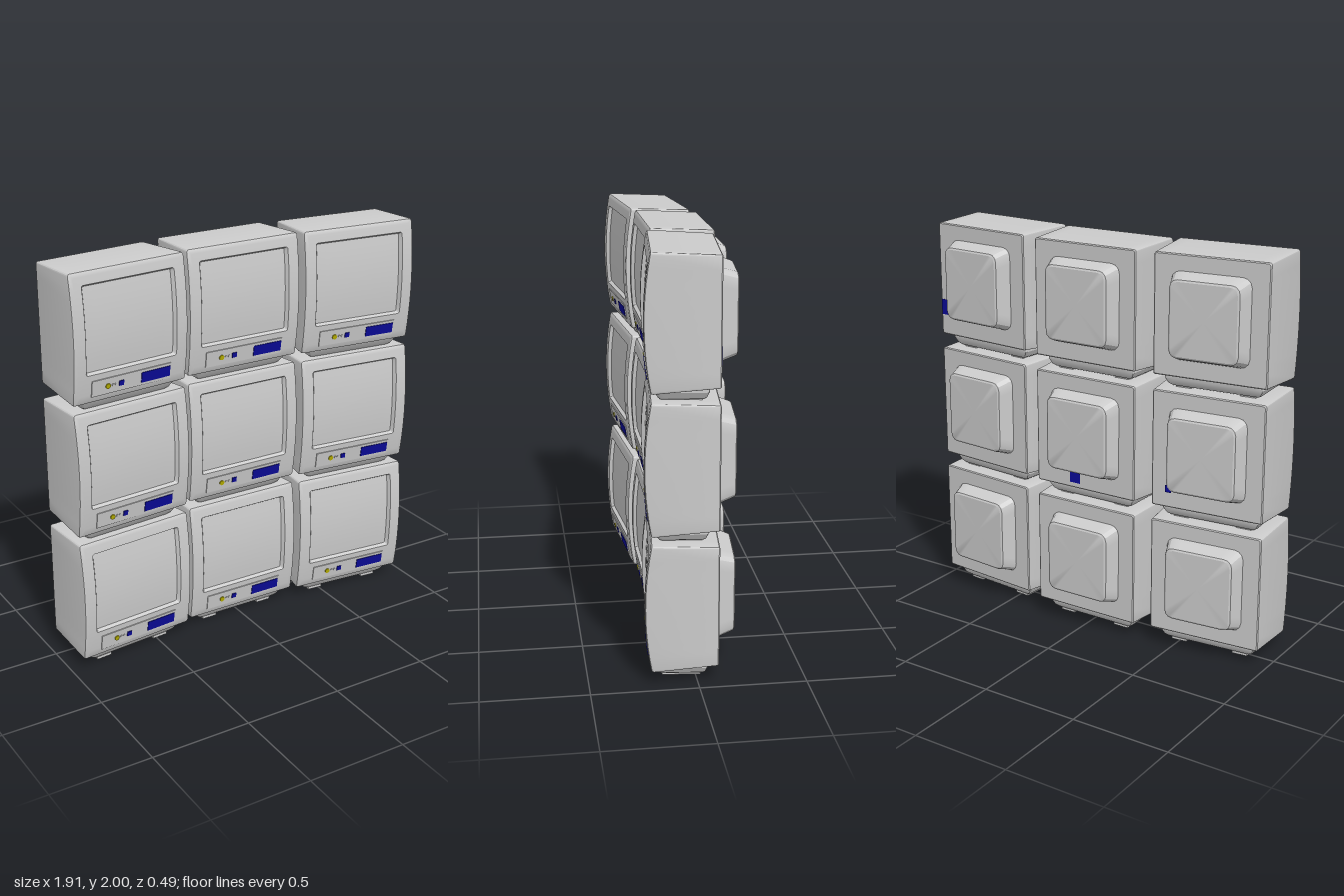
import * as THREE from 'three';
import { toCreasedNormals } from 'three/addons/utils/BufferGeometryUtils.js';

const grey = new THREE.MeshStandardMaterial({ color: 0xcccccc });
const blue = new THREE.MeshStandardMaterial({ color: 0x0a0a99 });
const yellow = new THREE.MeshStandardMaterial({ color: 0xb8b000 });

const MID = 0.37; // height of the cabinet's middle above its feet
const bulge = (y) => 0.14 + 0.03 * (1 - ((y - MID) / 0.31) ** 2);

// Rounded rectangle, counter-clockwise seen from +z; z is a number or a function of y
function ring(hw, y0, y1, r, z) {
  const corners = [[hw - r, y0 + r], [hw - r, y1 - r], [-hw + r, y1 - r], [-hw + r, y0 + r]];
  const outline = [];
  corners.forEach(([cx, cy], c) => {
    for (let k = 0; k <= 3; k++) {
      const a = (c - 1 + k / 3) * Math.PI / 2;
      outline.push([cx + r * Math.cos(a), cy + r * Math.sin(a)]);
    }
    const [px, py] = outline[outline.length - 1];
    const [nx, ny] = corners[(c + 1) % 4];
    const a = c * Math.PI / 2;
    const qx = nx + r * Math.cos(a), qy = ny + r * Math.sin(a);
    for (let k = 1; k < 10; k++) outline.push([px + (qx - px) * k / 10, py + (qy - py) * k / 10]);
  });
  return outline.map(([x, y]) => new THREE.Vector3(x, y, typeof z === 'function' ? z(y) : z));
}

// Skin through rings ordered from back to front, closed at both ends
function loft(rings) {
  const n = rings[0].length;
  const points = rings.flat();
  const index = [];
  for (let j = 0; j < rings.length - 1; j++) {
    for (let i = 0; i < n; i++) {
      const a = j * n + i, b = j * n + (i + 1) % n;
      index.push(a, b, b + n, a, b + n, a + n);
    }
  }
  const centre = (pts) => pts.reduce((s, p) => s.add(p), new THREE.Vector3()).divideScalar(n);
  const back = points.push(centre(rings[0])) - 1;
  const front = points.push(centre(rings[rings.length - 1])) - 1;
  const last = (rings.length - 1) * n;
  for (let i = 0; i < n; i++) {
    const k = (i + 1) % n;
    index.push(back, k, i, front, last + i, last + k);
  }
  const g = new THREE.BufferGeometry().setFromPoints(points);
  g.setIndex(index);
  return toCreasedNormals(g, 0.45);
}

function add(parent, name, geometry, material, x = 0, y = 0, z = 0) {
  const mesh = new THREE.Mesh(geometry, material);
  mesh.name = name;
  mesh.position.set(x, y, z);
  parent.add(mesh);
  return mesh;
}

// Cabinet, curved bezel and recessed screen as one skin
function cabinetGeometry() {
  const rings = [
    ring(0.285, 0.085, 0.66, 0.01, -0.17),
    ring(0.29, 0.08, 0.665, 0.01, -0.165),
    ring(0.307, 0.06, 0.68, 0.012, (y) => bulge(y) - 0.012),
    ring(0.305, 0.062, 0.678, 0.012, (y) => bulge(y) - 0.004),
  ];
  for (let k = 0; k <= 4; k++) {
    const mix = (a, b) => THREE.MathUtils.lerp(a, b, k / 4);
    rings.push(ring(mix(0.297, 0.245), mix(0.07, 0.2), mix(0.67, 0.62), 0.01, bulge));
  }
  const glass = (y) => bulge(y) - 0.018;
  rings.push(ring(0.234, 0.21, 0.61, 0.008, glass));
  for (const s of [0.75, 0.5, 0.25, 0.02]) {
    rings.push(ring(0.234 * s, 0.41 - 0.2 * s, 0.41 + 0.2 * s, 0.008 * s, glass));
  }
  return loft(rings);
}

// Tapered housing on the back
const housingGeometry = () => loft([
  ring(0.166, 0.202, 0.553, 0.035, -0.25),
  ring(0.175, 0.193, 0.562, 0.04, -0.245),
  ring(0.18, 0.187, 0.568, 0.045, -0.232),
  ring(0.194, 0.172, 0.583, 0.045, -0.185),
  ring(0.205, 0.163, 0.59, 0.045, -0.16),
]);

// Pedestal, lofted upward
const pedestalGeometry = () => loft([
  ring(0.225, -0.095, 0.1, 0.01, 0.018),
  ring(0.24, -0.105, 0.11, 0.01, 0.028),
  ring(0.255, -0.12, 0.12, 0.01, 0.055),
  ring(0.255, -0.12, 0.12, 0.01, 0.085),
]).rotateX(-Math.PI / 2);

const shared = {
  cabinet: cabinetGeometry(),
  housing: housingGeometry(),
  pedestal: pedestalGeometry(),
  foot: new THREE.BoxGeometry(0.08, 0.03, 0.18),
  panel: new THREE.BoxGeometry(0.43, 0.08, 0.012),
  display: new THREE.BoxGeometry(0.158, 0.052, 0.008),
  knob: new THREE.CylinderGeometry(0.013, 0.013, 0.012, 16).rotateX(Math.PI / 2),
  button: new THREE.CylinderGeometry(0.006, 0.006, 0.01, 10).rotateX(Math.PI / 2),
  square: new THREE.BoxGeometry(0.025, 0.025, 0.01),
};

function createMonitor() {
  const monitor = new THREE.Group();
  add(monitor, 'cabinet', shared.cabinet, grey);
  add(monitor, 'rearHousing', shared.housing, grey);
  add(monitor, 'pedestal', shared.pedestal, grey);
  for (const side of [-1, 1]) add(monitor, 'foot', shared.foot, grey, 0.165 * side, 0.015, 0);

  // Control panel follows the slope of the chin
  const controls = new THREE.Group();
  controls.name = 'controlPanel';
  controls.position.set(0, 0.13, bulge(0.13));
  controls.rotation.x = 0.15;
  add(controls, 'panelPlate', shared.panel, grey, 0, 0, -0.002);
  add(controls, 'display', shared.display, blue, 0.13, 0, 0.003);
  add(controls, 'knob', shared.knob, yellow, -0.13, 0, 0.003);
  for (const x of [-0.104, -0.088]) add(controls, 'button', shared.button, grey, x, 0, 0.003);
  add(controls, 'blueButton', shared.square, blue, -0.058, 0, 0.003);
  monitor.add(controls);
  return monitor;
}

export function createModel() {
  const wall = new THREE.Group();
  wall.name = 'monitorWall';
  // Blue tags on the backs: column, row, x, y, z, width, height
  const tags = [
    [1, 2, 0.26, 0.225, -0.17, 0.05, 0.08],
    [0, 1, 0.06, 0.135, -0.17, 0.06, 0.055],
    [-1, 1, 0.165, 0.205, -0.243, 0.03, 0.035],
  ];
  for (let row = 0; row < 3; row++) {
    for (const col of [-1, 0, 1]) {
      const monitor = createMonitor();
      monitor.name = `monitorRow${row + 1}Column${col + 2}`;
      // Outer columns turn inward
      monitor.position.set(col * 0.651, row * 0.66, col ? 0.047 : 0);
      monitor.rotation.y = -0.09 * col;
      for (const [c, r, x, y, z, w, h] of tags) {
        if (c === col && r === row) add(monitor, 'rearTag', new THREE.BoxGeometry(w, h, 0.004), blue, x, y, z);
      }
      wall.add(monitor);
    }
  }
  return wall;
}
